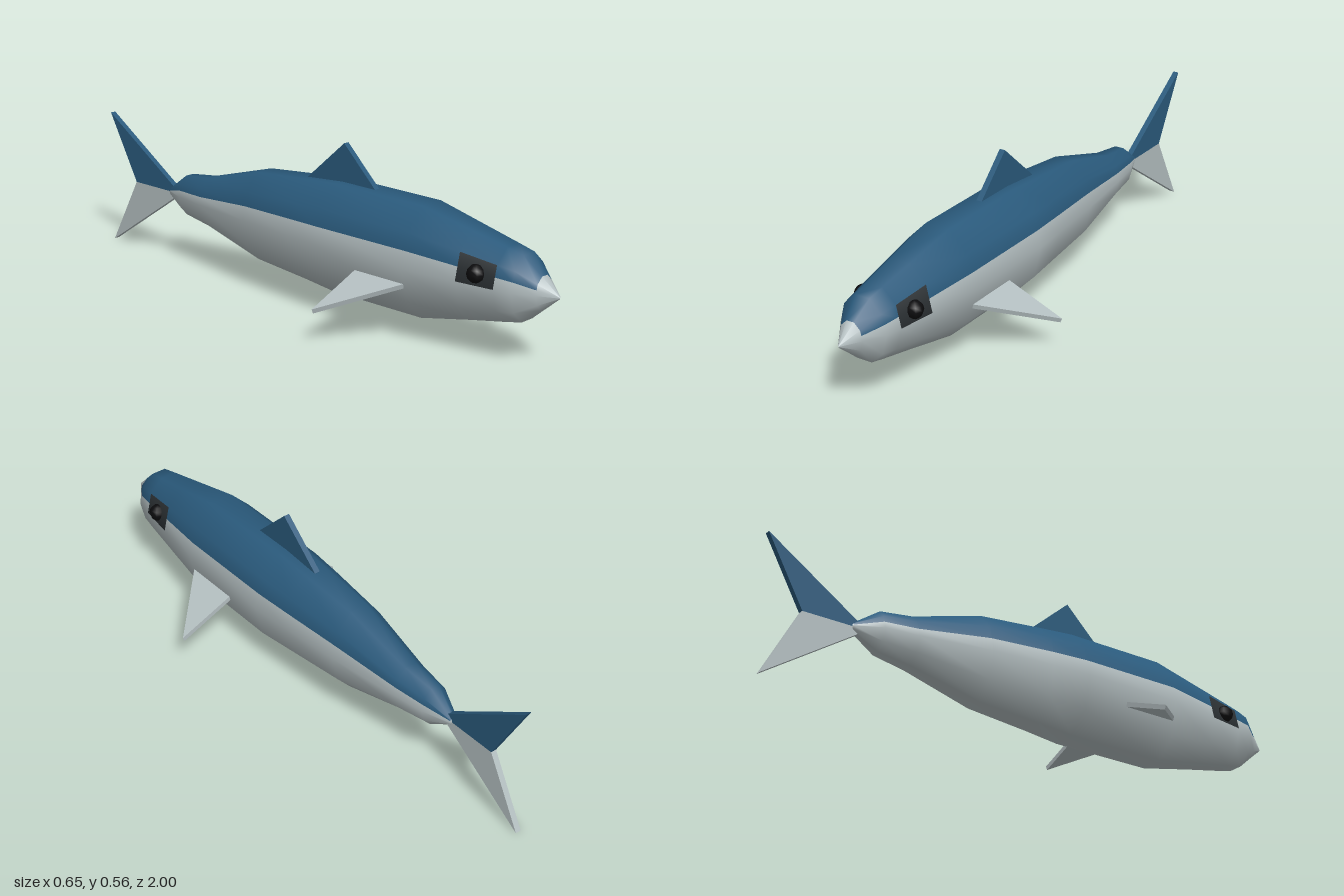
import * as THREE from 'three';

const mat = (color) => new THREE.MeshStandardMaterial({ color });
const blue = mat(0x2a5a7c), silver = mat(0xb4bfc1), dark = mat(0x2b3033), black = mat(0x0c0c0e);

// Body rings from nose to tail: z, bottom y, top y, half width
const RINGS = [
  [1, 0.239, 0.243, 0.002], [0.94, 0.191, 0.298, 0.043], [0.88, 0.142, 0.354, 0.085],
  [0.82, 0.13, 0.367, 0.095], [0.69, 0.106, 0.394, 0.114], [0.5, 0.068, 0.434, 0.14],
  [0.13, 0.067, 0.434, 0.14], [0, 0.08, 0.423, 0.13], [-0.23, 0.097, 0.402, 0.107],
  [-0.485, 0.158, 0.33, 0.068], [-0.6, 0.175, 0.316, 0.052], [-0.69, 0.226, 0.254, 0.015],
  [-0.7, 0.239, 0.241, 0.001],
];

// Ten-sided section, with an extra point halfway up each flank for the colour line
function section() {
  const pts = [];
  for (let k = 0; k < 10; k++) {
    const a = (k * Math.PI) / 5;
    pts.push([Math.cos(a), Math.sin(a)]);
  }
  const mid = (a, b) => [(a[0] + b[0]) / 2, (a[1] + b[1]) / 2];
  pts.splice(5, 0, mid(pts[4], pts[5]));
  pts.splice(1, 0, mid(pts[0], pts[1]));
  return pts;
}

// One smooth skin, divided into back, belly and eye patches that share its normals
function makeBody() {
  const sec = section(), n = sec.length;
  const pos = [], all = [], back = [], belly = [], patch = [];
  for (const [z, y0, y1, w] of RINGS) {
    const cy = (y0 + y1) / 2, h = (y1 - y0) / 2 / Math.sin(Math.PI * 0.4);
    for (const [c, s] of sec) pos.push(c * w, cy + s * h, z);
  }
  for (let i = 0; i < RINGS.length - 1; i++) {
    for (let j = 0; j < n; j++) {
      const a = i * n + j, c = i * n + ((j + 1) % n);
      const quad = [a, a + n, c, c, a + n, c + n];
      const onBack = j >= 1 && j <= 5 && i > 0 && i < RINGS.length - 2;
      const onPatch = i === 3 && [0, 1, 5, 6].includes(j);
      (onPatch ? patch : onBack ? back : belly).push(...quad);
      all.push(...quad);
    }
  }
  const skin = new THREE.BufferGeometry();
  skin.setAttribute('position', new THREE.Float32BufferAttribute(pos, 3));
  skin.setIndex(all);
  skin.computeVertexNormals();
  const piece = (index, material, name) => {
    const g = skin.clone();
    g.setIndex(index);
    const m = new THREE.Mesh(g, material);
    m.name = name;
    return m;
  };
  const body = new THREE.Group();
  body.name = 'body';
  body.add(piece(back, blue, 'back'), piece(belly, silver, 'belly'), piece(patch, dark, 'eyePatches'));
  return body;
}

// Flat plate of even thickness, centred on its own plane
function plate(points, thickness = 0.02) {
  const shape = new THREE.Shape(points.map(([x, y]) => new THREE.Vector2(x, y)));
  const g = new THREE.ExtrudeGeometry(shape, { depth: thickness, bevelEnabled: false });
  return g.translate(0, 0, -thickness / 2);
}

// Upright fin in the middle plane, outline given as [z, y]
function uprightFin(points, material, name) {
  const m = new THREE.Mesh(plate(points).rotateY(-Math.PI / 2), material);
  m.name = name;
  return m;
}

export function createModel() {
  const fish = new THREE.Group();
  fish.name = 'fish';
  fish.add(makeBody());

  // Dorsal fin and forked tail
  fish.add(uprightFin([[0.3, 0.41], [0.27, 0.437], [0.14, 0.563], [-0.02, 0.422], [-0.02, 0.39]], blue, 'dorsalFin'));
  fish.add(uprightFin([[-0.64, 0.24], [-0.87, 0.24], [-1, 0.475]], blue, 'upperTailFin'));
  fish.add(uprightFin([[-0.64, 0.24], [-0.87, 0.24], [-1, 0]], silver, 'lowerTailFin'));

  for (const side of [1, -1]) {
    const label = side > 0 ? 'left' : 'right';

    // Side fin, swept back and drooping outwards
    const outline = [[-0.04, -0.53], [0.208, -0.295], [-0.04, -0.295]].map(([x, y]) => [x * side, y]);
    const fin = new THREE.Mesh(plate(outline, 0.016).rotateX(-Math.PI / 2), silver);
    fin.name = label + 'SideFin';
    fin.position.set(0.13 * side, 0.19, 0);
    fin.rotation.z = -0.39 * side;
    fish.add(fin);

    // Eye
    const eye = new THREE.Mesh(new THREE.SphereGeometry(0.03, 8, 6), black);
    eye.name = label + 'Eye';
    eye.position.set(0.095 * side, 0.285, 0.755);
    fish.add(eye);
  }
  return fish;
}
